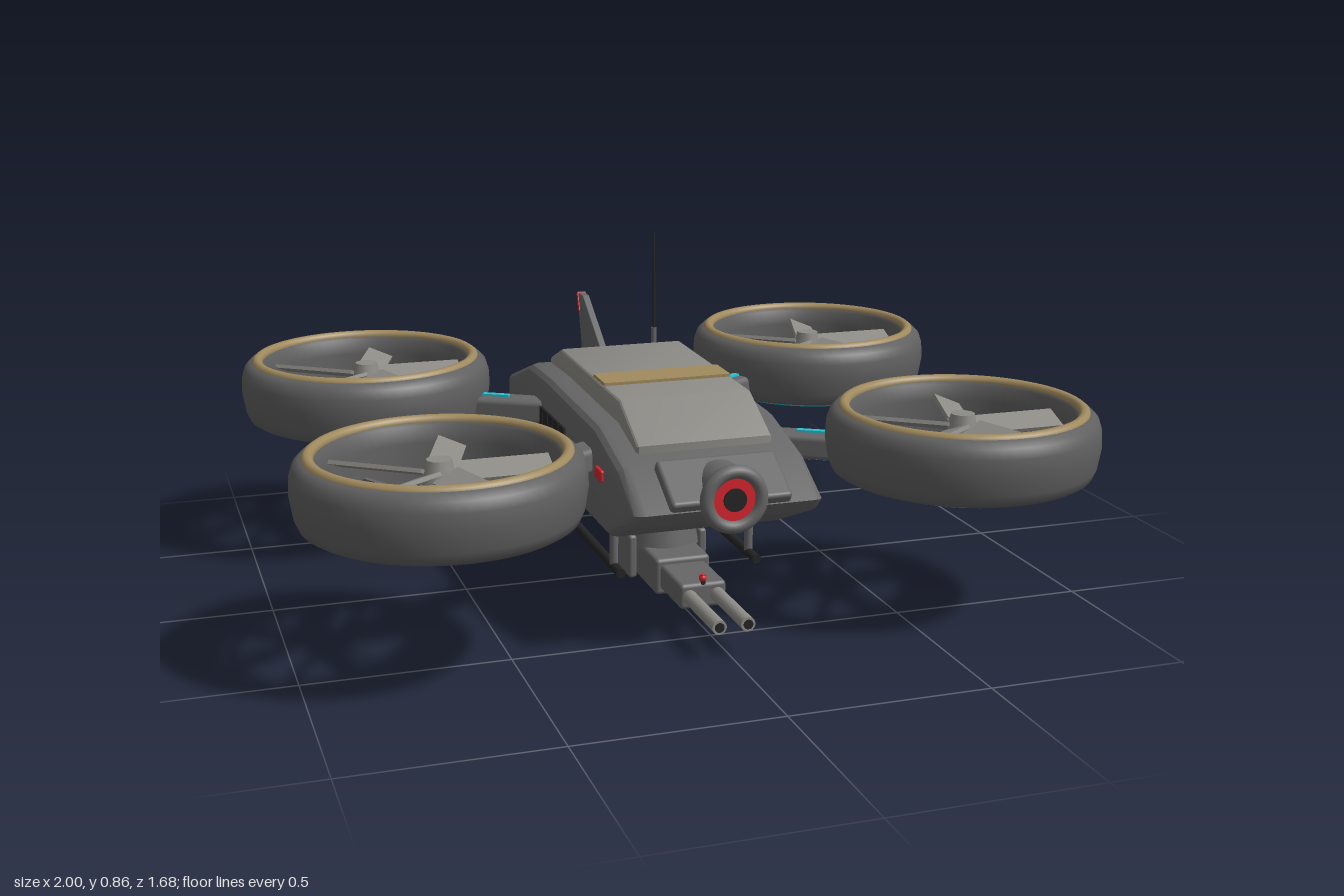
import * as THREE from 'three';
import { RoundedBoxGeometry } from 'three/addons/geometries/RoundedBoxGeometry.js';
import { toCreasedNormals } from 'three/addons/utils/BufferGeometryUtils.js';

const material = (name, color, side = THREE.FrontSide) => {
  const m = new THREE.MeshStandardMaterial({ color, side });
  m.name = name;
  return m;
};
const hullGrey = material('hull grey', 0x666666);
const ductGrey = material('duct grey', 0x606060, THREE.DoubleSide);
const lightGrey = material('light grey', 0x8c8b86);
const black = material('black', 0x242424);
const tan = material('tan', 0xa08a5e);
const cyan = material('cyan', 0x28c4d6);
const red = material('red', 0xd8242c);

function add(parent, name, geometry, mat, x = 0, y = 0, z = 0) {
  const mesh = new THREE.Mesh(geometry, mat);
  mesh.name = name;
  mesh.position.set(x, y, z);
  parent.add(mesh);
  return mesh;
}
const box = (w, h, d) => new THREE.BoxGeometry(w, h, d);
const rounded = (w, h, d, r = 0.01) => new RoundedBoxGeometry(w, h, d, 2, r);
const rod = (r, length, r2 = r, sides = 20) => new THREE.CylinderGeometry(r, r2, length, sides);
const rodZ = (r, length, sides = 20) => rod(r, length, r, sides).rotateX(Math.PI / 2);

// Side profile given as [z, y] points, extruded across x with rounded edges
function sideExtrude(points, width, bevel) {
  const shape = new THREE.Shape(points.map(([z, y]) => new THREE.Vector2(z, y)));
  const g = new THREE.ExtrudeGeometry(shape, {
    depth: width - 2 * bevel, bevelEnabled: bevel > 0, bevelThickness: bevel,
    bevelSize: bevel, bevelOffset: -bevel, bevelSegments: 3,
  });
  g.translate(0, 0, bevel - width / 2).rotateY(-Math.PI / 2);
  return toCreasedNormals(g, 0.5);
}

function buildHull(root) {
  add(root, 'hull', sideExtrude([
    [0.4, 0.25], [0.61, 0.34], [0.64, 0.375], [0.5, 0.455], [0.3, 0.507],
    [-0.16, 0.52], [-0.35, 0.515], [-0.6, 0.43], [-0.6, 0.32], [-0.5, 0.25],
  ], 0.475, 0.03), hullGrey);
  add(root, 'canopy', sideExtrude([
    [0.45, 0.46], [0.45, 0.487], [0.3, 0.565], [-0.24, 0.575], [-0.35, 0.53], [-0.35, 0.48],
  ], 0.345, 0.01), lightGrey);
  add(root, 'canopyStripe', box(0.336, 0.008, 0.1), tan, 0, 0.572, 0.115).rotation.x = 0.018;
  add(root, 'nosePanel', rounded(0.3, 0.035, 0.15), hullGrey, 0, 0.42, 0.575).rotation.x = 0.52;

  // Nose sensor
  add(root, 'sensorBezel', new THREE.TorusGeometry(0.067, 0.017, 12, 36), hullGrey, 0, 0.4, 0.65);
  add(root, 'sensorBack', rodZ(0.066, 0.1, 32), hullGrey, 0, 0.4, 0.59);
  add(root, 'sensorRing', rodZ(0.057, 0.04, 32), red, 0, 0.4, 0.635);
  add(root, 'sensorLens', rodZ(0.028, 0.012, 24), black, 0, 0.4, 0.655);

  // Side vents and navigation lights
  for (const side of [-1, 1]) {
    for (let i = 0; i < 6; i++) {
      add(root, 'ventSlot', box(0.012, 0.08, 0.046), black, side * 0.238, 0.392, 0.02 - i * 0.054);
    }
    add(root, 'sideLight', rounded(0.015, 0.03, 0.055, 0.005), side < 0 ? red : black, side * 0.238, 0.4, 0.36);
  }

  // Tail fin with beacon strip
  add(root, 'tailFin', sideExtrude([
    [-0.37, 0.5], [-0.59, 0.647], [-0.65, 0.647], [-0.585, 0.42], [-0.45, 0.44],
  ], 0.02, 0.003), hullGrey);
  add(root, 'finBeacon', box(0.025, 0.055, 0.012), red, 0, 0.621, -0.632).rotation.x = -0.35;

  // Whip antenna
  add(root, 'antennaBase', rod(0.008, 0.09), hullGrey, 0.12, 0.555, -0.32);
  add(root, 'antenna', rod(0.003, 0.34, 0.005, 10), black, 0.12, 0.695, -0.32);
}

function buildSkids(root) {
  for (const x of [-0.18, 0.18]) {
    add(root, 'skidRail', rodZ(0.012, 0.75), black, x, 0.13, -0.035);
    for (const z of [0.28, -0.36]) add(root, 'skidLeg', rod(0.011, 0.14), hullGrey, x, 0.2, z);
  }
}

function buildTurret(root) {
  const turret = new THREE.Group();
  turret.name = 'turret';
  root.add(turret);
  add(turret, 'turretRing', rod(0.12, 0.04, 0.12, 36), hullGrey, 0, 0.232, 0.12);
  add(turret, 'turretNeck', rod(0.078, 0.09, 0.095, 28), hullGrey, 0, 0.175, 0.12);
  add(turret, 'gunHousing', rounded(0.145, 0.095, 0.26), hullGrey, 0, 0.09, 0.16);
  add(turret, 'gunShroud', rounded(0.12, 0.065, 0.17), hullGrey, 0, 0.09, 0.36);
  for (const side of [-1, 1]) {
    add(turret, 'yoke', rounded(0.022, 0.115, 0.1, 0.008), hullGrey, side * 0.095, 0.108, 0.12);
    add(turret, 'barrel', rodZ(0.018, 0.24), lightGrey, side * 0.036, 0.09, 0.54);
    add(turret, 'muzzle', rodZ(0.012, 0.004), black, side * 0.036, 0.09, 0.66);
  }
  add(turret, 'gunSight', box(0.01, 0.025, 0.008), black, 0, 0.13, 0.44);
  add(turret, 'sightLight', new THREE.SphereGeometry(0.01, 12, 8), red, 0, 0.134, 0.438);
  add(turret, 'ammoBox', rounded(0.06, 0.098, 0.115), tan, 0, 0.055, 0.042);
}

// Ducted rotor, centred on its own axis
function buildRotor(x, z) {
  const rotor = new THREE.Group();
  rotor.name = 'ductedRotor';
  rotor.position.set(x, 0, z);
  const profile = [
    [0.268, 0.375], [0.28, 0.366], [0.306, 0.366], [0.322, 0.376], [0.332, 0.4], [0.34, 0.45],
    [0.338, 0.49], [0.33, 0.515], [0.315, 0.53], [0.29, 0.535], [0.275, 0.52], [0.268, 0.48], [0.268, 0.375],
  ].map(([r, y]) => new THREE.Vector2(r, y));
  add(rotor, 'duct', new THREE.LatheGeometry(profile, 64), ductGrey);
  const ring = (r, tube) => new THREE.TorusGeometry(r, tube, 10, 64).rotateX(Math.PI / 2);
  add(rotor, 'ductLip', ring(0.295, 0.0145), tan, 0, 0.528);
  add(rotor, 'lightRing', ring(0.256, 0.011), cyan, 0, 0.361);

  // Lower support struts and motor
  add(rotor, 'motor', rod(0.045, 0.08), hullGrey, 0, 0.415);
  for (let i = 0; i < 6; i++) {
    const strut = add(rotor, 'strut', box(0.27, 0.02, 0.012).translate(0.135, 0, 0), hullGrey, 0, 0.405);
    strut.rotation.y = i * Math.PI / 3;
  }

  // Five pitched blades
  add(rotor, 'hub', rod(0.03, 0.06, 0.042, 10), lightGrey, 0, 0.485);
  for (let i = 0; i < 5; i++) {
    const blade = add(rotor, 'blade', box(0.235, 0.01, 0.072).rotateX(0.38).translate(0.147, 0, 0), lightGrey, 0, 0.48);
    blade.rotation.y = i * Math.PI * 2 / 5;
  }
  return rotor;
}

// Arm from the hull towards a rotor, with light strips
function buildArm(sx, sz) {
  const arm = new THREE.Group();
  arm.name = 'rotorArm';
  arm.position.set(sx * 0.2, 0.41, sz * 0.22);
  arm.rotation.y = -Math.atan2(sz * 0.28, sx * 0.46);
  add(arm, 'armBeam', rounded(0.45, 0.065, 0.08, 0.015), hullGrey, 0.22);
  for (const y of [0.034, -0.034]) add(arm, 'armLight', box(0.31, 0.008, 0.018), cyan, 0.28, y);
  return arm;
}

export function createModel() {
  const root = new THREE.Group();
  root.name = 'quadrotorDrone';
  buildHull(root);
  buildSkids(root);
  buildTurret(root);
  for (const sx of [-1, 1]) {
    for (const sz of [-1, 1]) {
      root.add(buildArm(sx, sz));
      root.add(buildRotor(sx * 0.66, sz * 0.5));
    }
  }
  return root;
}
